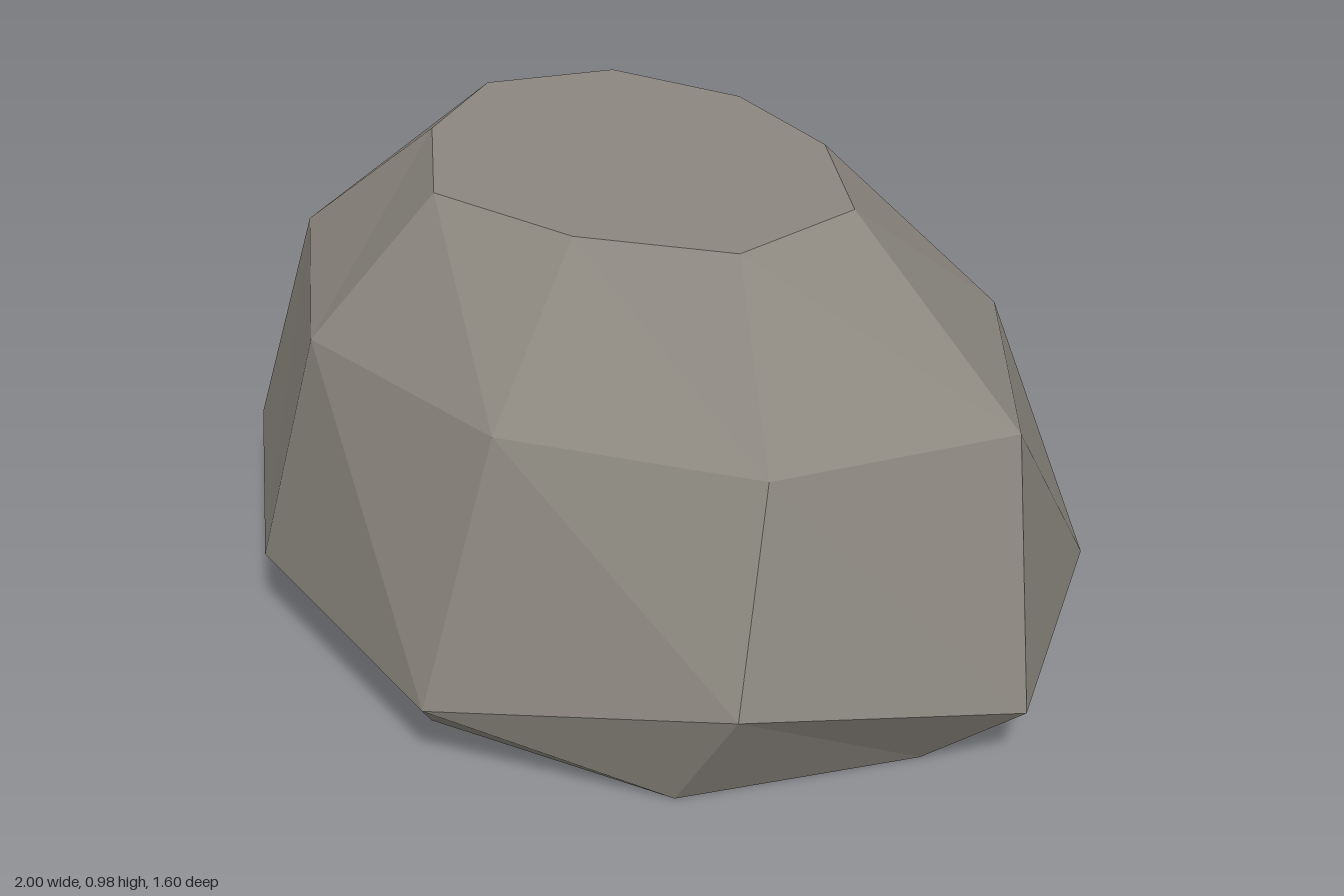
import * as THREE from 'three';

// Rings of [x, y, z], each running from the front round to the left (+x)
const RINGS = [
  // flat top
  [[-0.11, 0.98, 0.455], [0.21, 0.98, 0.38], [0.465, 0.98, 0.2], [0.465, 0.98, -0.09], [0.21, 0.98, -0.26],
    [-0.08, 0.98, -0.3], [-0.36, 0.98, -0.2], [-0.475, 0.98, 0.04], [-0.36, 0.98, 0.27]],
  // shoulder
  [[-0.24, 0.69, 0.665], [0.29, 0.69, 0.64], [0.71, 0.67, 0.35], [0.88, 0.665, -0.12], [0.48, 0.665, -0.48],
    [-0.04, 0.665, -0.57], [-0.54, 0.68, -0.43], [-0.755, 0.72, -0.04], [-0.65, 0.715, 0.38]],
  // widest girth
  [[-0.375, 0.165, 0.72], [0.26, 0.15, 0.8], [0.78, 0.25, 0.48], [1, 0.145, -0.05], [0.69, 0.15, -0.555],
    [0.05, 0.175, -0.8], [-0.59, 0.16, -0.6], [-1, 0.225, -0.155], [-0.87, 0.17, 0.39]],
  // flat base
  [[-0.39, 0, 0.57], [0.12, 0, 0.68], [0.62, 0, 0.49], [0.83, 0, 0.05], [0.62, 0, -0.38],
    [0.08, 0, -0.56], [-0.47, 0, -0.5], [-0.7, 0, -0.13], [-0.69, 0, 0.29]],
];

function rockGeometry(rings) {
  const n = rings[0].length;
  const index = [];
  // faceted bands between neighbouring rings
  for (let r = 0; r < rings.length - 1; r++) {
    for (let j = 0; j < n; j++) {
      const k = (j + 1) % n;
      const u = r * n, l = u + n;
      index.push(u + j, l + j, l + k, u + j, l + k, u + k);
    }
  }
  // flat top and base
  const base = (rings.length - 1) * n;
  for (let j = 1; j < n - 1; j++) {
    index.push(0, j, j + 1, base, base + j + 1, base + j);
  }
  const indexed = new THREE.BufferGeometry();
  indexed.setAttribute('position', new THREE.Float32BufferAttribute(rings.flat(2), 3));
  indexed.setIndex(index);
  const geometry = indexed.toNonIndexed();
  geometry.computeVertexNormals();
  return geometry;
}

export function createModel() {
  const stone = new THREE.MeshStandardMaterial({ color: 0x8c8880, flatShading: true });
  stone.name = 'stoneGrey';
  const rock = new THREE.Mesh(rockGeometry(RINGS), stone);
  rock.name = 'rock';
  const group = new THREE.Group();
  group.name = 'boulder';
  group.add(rock);
  return group;
}
